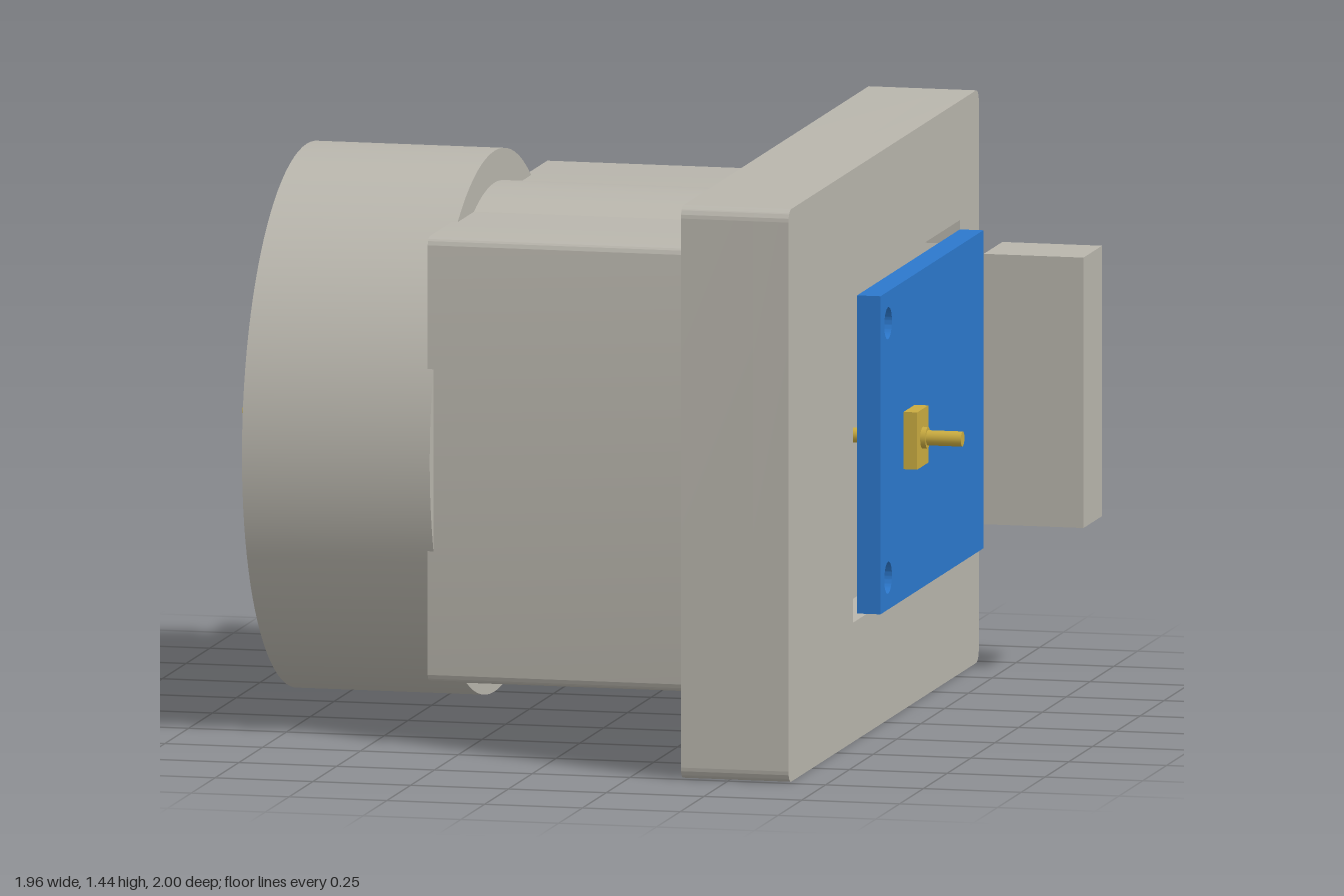
import * as THREE from 'three';
import { toCreasedNormals } from 'three/addons/utils/BufferGeometryUtils.js';

const AXIS_Y = 0.72; // height of the main axis, which runs along x

const grey = new THREE.MeshStandardMaterial({ name: 'housing grey', color: 0xb8b5ac });
const blue = new THREE.MeshStandardMaterial({ name: 'board blue', color: 0x2c78cc });
const gold = new THREE.MeshStandardMaterial({ name: 'contact gold', color: 0xc9ab40 });

export function createModel() {
  const model = new THREE.Group();
  model.name = 'flangedConnector';

  const add = (name, geometry, material) => {
    const mesh = new THREE.Mesh(geometry, material);
    mesh.name = name;
    model.add(mesh);
    return mesh;
  };

  // Extrudes a shape drawn in (-z, y) along x from x0 to x1
  const extrudeX = (name, shape, x0, x1, material) => {
    const g = new THREE.ExtrudeGeometry(shape, { depth: x1 - x0, bevelEnabled: false, curveSegments: 32 });
    g.rotateY(Math.PI / 2);
    g.translate(x0, 0, 0);
    return add(name, toCreasedNormals(g, 0.5), material);
  };

  const boxBetween = (name, a, b, material) => {
    const g = new THREE.BoxGeometry(b[0] - a[0], b[1] - a[1], b[2] - a[2]);
    g.translate((a[0] + b[0]) / 2, (a[1] + b[1]) / 2, (a[2] + b[2]) / 2);
    return add(name, g, material);
  };

  const rodX = (name, r, x0, x1, material, segments = 24, open = false) => {
    const g = new THREE.CylinderGeometry(r, r, x1 - x0, segments, 1, open);
    g.rotateZ(-Math.PI / 2);
    g.translate((x0 + x1) / 2, AXIS_Y, 0);
    return add(name, g, material);
  };

  const roundedRect = (u0, v0, u1, v1, r) => {
    const s = new THREE.Shape();
    s.absarc(u1 - r, v0 + r, r, -Math.PI / 2, 0);
    s.absarc(u1 - r, v1 - r, r, 0, Math.PI / 2);
    s.absarc(u0 + r, v1 - r, r, Math.PI / 2, Math.PI);
    s.absarc(u0 + r, v0 + r, r, Math.PI, Math.PI * 1.5);
    s.closePath();
    return s;
  };

  const circleHole = (u, v, r) => new THREE.Path().absarc(u, v, r, 0, Math.PI * 2, true);

  // Flange: solid back layer, and a front layer cut by the pocket open at the back edge
  extrudeX('flangeBase', roundedRect(-1, 0, 1, 1.44, 0.03), 0.38, 0.565, grey);
  const rim = new THREE.Shape();
  rim.moveTo(1, 0.36);
  rim.lineTo(0.8, 0.36);
  rim.lineTo(0.8, 0.3);
  rim.lineTo(-0.32, 0.3);
  rim.lineTo(-0.32, 1.14);
  rim.lineTo(0.8, 1.14);
  rim.lineTo(0.8, 1.08);
  rim.lineTo(1, 1.08);
  rim.absarc(0.97, 1.41, 0.03, 0, Math.PI / 2);
  rim.absarc(-0.97, 1.41, 0.03, Math.PI / 2, Math.PI);
  rim.absarc(-0.97, 0.03, 0.03, Math.PI, Math.PI * 1.5);
  rim.absarc(0.97, 0.03, 0.03, Math.PI * 1.5, Math.PI * 2);
  rim.closePath();
  extrudeX('flangePocketRim', rim, 0.565, 0.655, grey);

  // Block neck with the bore through it, and the round barrel bulging above and below
  const neck = roundedRect(-0.64, 0.16, 0.64, 1.28, 0.025);
  neck.holes.push(circleHole(0, AXIS_Y, 0.4));
  extrudeX('neckBlock', neck, -0.355, 0.38, grey);
  rodX('neckBarrel', 0.6, -0.345, 0.38, grey, 96, true);

  // Ring socket with an internal thread
  const profile = [[0.505, -0.82], [0.68, -0.82], [0.68, -0.34], [0.4, -0.34], [0.4, -0.5], [0.475, -0.5]];
  const threads = 9, pitch = 0.032;
  for (let i = 0; i < threads; i++) {
    const x = -0.505 - i * pitch;
    profile.push([0.475, x], [0.505, x - pitch / 2]);
  }
  profile.push([0.475, -0.505 - threads * pitch], [0.505, -0.82]);
  const socket = new THREE.LatheGeometry(profile.map(([r, x]) => new THREE.Vector2(r, x)), 96);
  socket.rotateZ(-Math.PI / 2);
  socket.translate(0, AXIS_Y, 0);
  add('threadedSocket', toCreasedNormals(socket, 0.4), grey);

  // Circuit board with two mounting holes
  const board = new THREE.Shape();
  board.moveTo(-0.3, 0.32);
  board.lineTo(0.78, 0.32);
  board.lineTo(0.78, 1.12);
  board.lineTo(-0.3, 1.12);
  board.closePath();
  for (const y of [0.4, 1.04]) board.holes.push(circleHole(-0.22, y, 0.04));
  extrudeX('circuitBoard', board, 0.66, 0.72, blue);

  // Plug housing beside the board
  boxBetween('plugHousing', [0.72, 0.38, -0.98], [0.975, 1.06, -0.785], grey);

  // Gold contact: plate, collar and the long centre pin
  boxBetween('contactPlate', [0.72, 0.648, -0.058], [0.755, 0.792, 0.058], gold);
  rodX('contactCollar', 0.027, 0.755, 0.768, gold);
  rodX('centrePin', 0.019, -0.98, 0.857, gold);

  return model;
}
